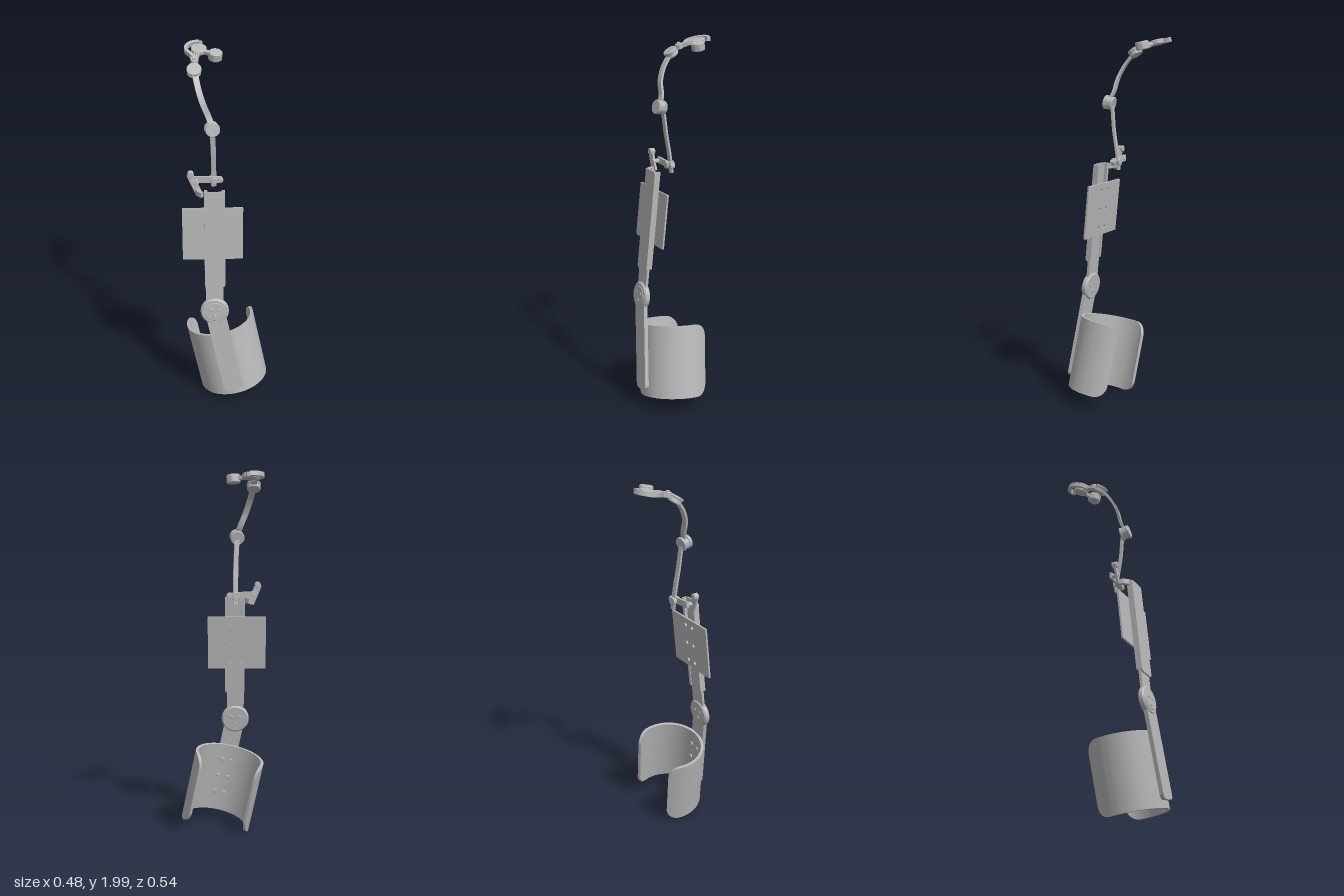
import * as THREE from 'three';
import { toCreasedNormals } from 'three/addons/utils/BufferGeometryUtils.js';

const V = (x, y, z) => new THREE.Vector3(x, y, z);

export function createModel() {
  const grey = new THREE.MeshStandardMaterial({ color: 0xb8b8b8 });
  grey.name = 'satin grey';
  const model = new THREE.Group();
  model.name = 'armLinkage';

  const add = (parent, name, geo, x = 0, y = 0, z = 0) => {
    const mesh = new THREE.Mesh(geo, grey);
    mesh.name = name;
    mesh.position.set(x, y, z);
    parent.add(mesh);
    return mesh;
  };

  // Solid skin over a row of four-point cross-sections
  const sweep = (rings, crease = 0.6) => {
    const idx = [];
    const n = rings.length - 1;
    for (let i = 0; i < n; i++) {
      for (let k = 0; k < 4; k++) {
        const a = i * 4 + k, d = i * 4 + (k + 1) % 4;
        idx.push(a, a + 4, d + 4, a, d + 4, d);
      }
    }
    const e = n * 4;
    idx.push(0, 1, 2, 0, 2, 3, e, e + 2, e + 1, e, e + 3, e + 2);
    const geo = new THREE.BufferGeometry().setFromPoints(rings.flat());
    geo.setIndex(idx);
    return toCreasedNormals(geo, crease);
  };

  // Flat strap along a smooth curve; wide is the direction of its width
  const strap = (parent, name, pts, wide, width, thick, steps = 20) => {
    const curve = new THREE.CatmullRomCurve3(pts);
    const rings = [];
    for (let i = 0; i <= steps; i++) {
      const p = curve.getPoint(i / steps), t = curve.getTangent(i / steps);
      const n = t.clone().cross(wide).normalize();
      const w = n.clone().cross(t).normalize();
      rings.push([[1, -1], [1, 1], [-1, 1], [-1, -1]].map(([a, b]) =>
        p.clone().addScaledVector(n, a * thick / 2).addScaledVector(w, b * width / 2)));
    }
    return add(parent, name, sweep(rings));
  };

  // Bevelled disc about any axis
  const disc = (parent, name, r, h, c, axis, bevel = 0.005) => {
    const pts = [[0, -h / 2], [r - bevel, -h / 2], [r, -h / 2 + bevel],
      [r, h / 2 - bevel], [r - bevel, h / 2], [0, h / 2]].map(p => new THREE.Vector2(...p));
    const mesh = add(parent, name, toCreasedNormals(new THREE.LatheGeometry(pts, 32), 0.5), c.x, c.y, c.z);
    mesh.quaternion.setFromUnitVectors(V(0, 1, 0), axis.clone().normalize());
    return mesh;
  };

  const pin = (parent, name, a, b, r) =>
    disc(parent, name, r, a.distanceTo(b), a.clone().lerp(b, 0.5), b.clone().sub(a), 0.002);

  // Plate with rounded corners and optional round holes
  const plate = (w, y0, y1, r, depth, holes = []) => {
    const s = new THREE.Shape();
    const x = w / 2;
    s.moveTo(-x + r, y0).lineTo(x - r, y0).quadraticCurveTo(x, y0, x, y0 + r);
    s.lineTo(x, y1 - r).quadraticCurveTo(x, y1, x - r, y1);
    s.lineTo(-x + r, y1).quadraticCurveTo(-x, y1, -x, y1 - r);
    s.lineTo(-x, y0 + r).quadraticCurveTo(-x, y0, -x + r, y0);
    for (const [hx, hy] of holes) s.holes.push(new THREE.Path().absarc(hx, hy, 0.011, 0, Math.PI * 2, true));
    return new THREE.ExtrudeGeometry(s, { depth, bevelEnabled: false, curveSegments: 8 });
  };

  // Two limbs share the pivot joint
  const limb = (name, rx, rz) => {
    const g = new THREE.Group();
    g.name = name;
    g.position.set(-0.08, 0.61, 0.195);
    g.rotation.set(rx, -0.14, rz, 'YXZ');
    model.add(g);
    return g;
  };
  const Z = V(0, 0, 1);

  // Lower limb: bar and open cuff
  const lower = limb('lowerLimb', -0.092, 0.205);
  add(lower, 'lowerBar', plate(0.107, -0.52, 0.02, 0.03, 0.022), 0, 0, -0.006);
  const R = 0.192, thick = 0.016, end = 2.18, half = 0.2, corner = 0.075, rings = [];
  for (let i = 0; i <= 64; i++) {
    const u = -Math.cos(i / 64 * Math.PI);
    const a = end * u;
    const q = Math.max(0, 1 - end * (1 - Math.abs(u)) * R / corner);
    const h = half - corner * (1 - Math.sqrt(1 - q * q));
    const p = (r, y) => V(r * Math.sin(a), y, r * Math.cos(a));
    rings.push([p(R, -h), p(R, h), p(R - thick, h), p(R - thick, -h)]);
  }
  add(lower, 'cuff', sweep(rings), 0, -0.36, -0.195);
  for (const y of [-0.25, -0.35, -0.45]) {
    for (const x of [-0.027, 0.027]) disc(lower, 'cuffScrew', 0.012, 0.012, V(x, y, -0.022), Z, 0.002);
  }

  // Pivot joint with screws on both faces
  const upper = limb('upperLimb', -0.104, 0);
  disc(upper, 'pivotDisc', 0.077, 0.034, V(0, 0, 0.002), Z, 0.008);
  disc(upper, 'pivotCap', 0.055, 0.006, V(0, 0, 0.019), Z, 0.002);
  for (let i = 0; i < 3; i++) {
    const a = i * Math.PI * 2 / 3 + 0.5;
    for (const z of [-0.016, 0.023]) {
      disc(upper, 'pivotScrew', 0.01, 0.006, V(0.026 * Math.cos(a), 0.026 * Math.sin(a), z), Z, 0.002);
    }
  }

  // Upper limb: sliding link inside a channel cover
  add(upper, 'slidingLink', plate(0.096, 0, 0.5, 0.02, 0.014), 0, 0, -0.007);
  add(upper, 'channelFront', plate(0.11, 0.15, 0.705, 0.018, 0.009), 0.003, 0, 0.008);
  for (const s of [-1, 1]) {
    add(upper, 'channelSide', new THREE.BoxGeometry(0.007, 0.54, 0.026), 0.003 + s * 0.0515, 0.435, -0.003);
    add(upper, 'channelLip', new THREE.BoxGeometry(0.018, 0.54, 0.005), 0.003 + s * 0.046, 0.435, -0.0135);
  }

  // Mounting plate
  const holes = [];
  for (const y of [0.345, 0.452, 0.56]) for (const x of [-0.03, 0.03]) holes.push([x, y]);
  add(upper, 'mountingPlate', plate(0.322, 0.304, 0.601, 0.003, 0.01, holes), -0.007, 0, -0.027);

  // Small hinge linkage above the channel
  const X = V(1, 0, 0), Y = V(0, 1, 0);
  strap(model, 'hingeBracket', [V(-0.13, 1.292, 0.118), V(-0.148, 1.292, 0.09), V(-0.15, 1.292, 0.06)], Y, 0.028, 0.02);
  strap(model, 'slantLink', [V(-0.143, 1.283, 0.062), V(-0.163, 1.33, 0.06), V(-0.185, 1.385, 0.056)], X, 0.036, 0.012);
  pin(model, 'slantPin', V(-0.182, 1.385, 0.07), V(-0.18, 1.385, 0.04), 0.017);
  pin(model, 'linkPin', V(-0.152, 1.335, 0.07), V(-0.15, 1.335, 0.015), 0.012);
  strap(model, 'crossLink', [V(-0.163, 1.338, 0.024), V(-0.09, 1.334, 0.031), V(-0.016, 1.33, 0.037)], Y, 0.034, 0.013);
  pin(model, 'rodPin', V(-0.055, 1.33, 0.052), V(-0.055, 1.33, 0.005), 0.019);
  disc(model, 'rodPinHead', 0.022, 0.012, V(-0.055, 1.33, 0.01), Z, 0.002);
  pin(model, 'crossLinkKnob', V(-0.02, 1.33, 0.048), V(-0.02, 1.33, 0.022), 0.014);

  // Long rod and bent strap between the round joints
  strap(model, 'longRod', [V(-0.053, 1.285, 0.015), V(-0.055, 1.39, 0.027), V(-0.059, 1.5, 0.045),
    V(-0.065, 1.6, 0.055), V(-0.07, 1.65, 0.062)], X, 0.026, 0.012);
  const a1 = V(0, 0.22, 1), c1 = V(-0.07, 1.645, 0.078);
  for (const [r, d, h] of [[0.038, -0.02, 0.014], [0.034, -0.003, 0.024], [0.038, 0.016, 0.018]]) {
    disc(model, 'middleJoint', r, h, c1.clone().addScaledVector(a1, d), a1, 0.003);
  }
  strap(model, 'bentStrap', [V(-0.072, 1.66, 0.075), V(-0.085, 1.705, 0.056), V(-0.112, 1.775, 0.043),
    V(-0.13, 1.845, 0.01), V(-0.138, 1.91, -0.04)], X, 0.03, 0.014, 28);
  const a2 = V(-0.1, 0.8, 0.55).normalize(), c2 = V(-0.14, 1.915, -0.046);
  for (const [r, d, h] of [[0.036, -0.012, 0.014], [0.033, 0, 0.016], [0.038, 0.012, 0.014]]) {
    disc(model, 'upperJoint', r, h, c2.clone().addScaledVector(a2, d), a2, 0.003);
  }

  // Knob, forked bracket and hooked arm at the tip
  const up = V(0, 0.95, 0.28);
  strap(model, 'neck', [V(-0.14, 1.925, -0.06), V(-0.134, 1.942, -0.092), V(-0.135, 1.953, -0.13)], X, 0.026, 0.016);
  disc(model, 'smallKnob', 0.02, 0.03, V(-0.131, 1.947, -0.092), up, 0.003);
  disc(model, 'smallKnobCap', 0.011, 0.008, V(-0.131, 1.964, -0.087), up, 0.002);
  for (const s of [-1, 0, 1]) {
    strap(model, 'forkRib', [V(-0.125 + s * 0.008, 1.952, -0.1), V(-0.112 + s * 0.011, 1.962, -0.135),
      V(-0.106 + s * 0.012, 1.965, -0.17)], up, 0.02, 0.007);
  }
  const arc = [V(-0.128, 1.95, -0.125)];
  for (let i = 0; i <= 8; i++) {
    const a = THREE.MathUtils.lerp(2.45, 4.95, i / 8);
    const z = -0.19 + 0.062 * Math.sin(a);
    arc.push(V(-0.098 + 0.062 * Math.cos(a), 1.972 - (z + 0.19) * 0.2, z));
  }
  strap(model, 'hookArm', arc, up, 0.024, 0.018, 40);
  add(model, 'hookEnd', new THREE.BoxGeometry(0.018, 0.024, 0.024), -0.077, 1.982, -0.243);

  // Tip joints
  const c3 = V(-0.094, 1.97, -0.19);
  disc(model, 'tipJoint', 0.04, 0.026, c3, V(-0.05, 0.95, 0.25), 0.004);
  strap(model, 'tipLink', [c3, V(-0.055, 1.962, -0.163), V(-0.02, 1.957, -0.137)], up, 0.018, 0.022);
  disc(model, 'endPad', 0.036, 0.045, V(-0.017, 1.955, -0.134), V(0.05, 0.95, 0.2), 0.005);

  return model;
}
